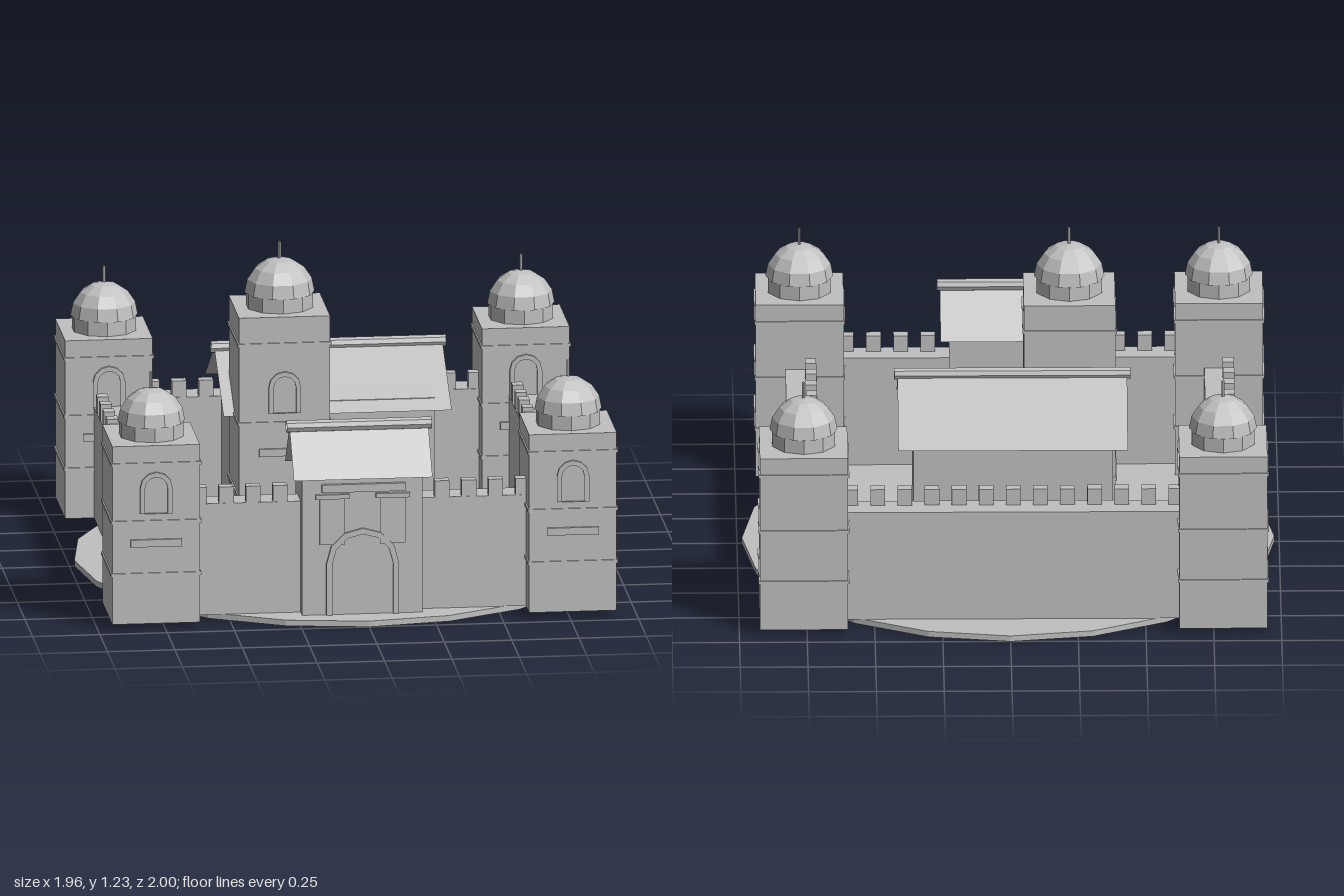
import * as THREE from 'three';

const stone = new THREE.MeshStandardMaterial({ color: 0xc0c0c0, flatShading: true, side: THREE.DoubleSide });
stone.name = 'grey stone';

function add(parent, name, geometry, x = 0, y = 0, z = 0) {
  const mesh = new THREE.Mesh(geometry, stone);
  mesh.name = name;
  mesh.position.set(x, y, z);
  parent.add(mesh);
  return mesh;
}

// Box given by its limits on each axis
function block(parent, name, x0, x1, y0, y1, z0, z1) {
  return add(parent, name, new THREE.BoxGeometry(x1 - x0, y1 - y0, z1 - z0),
    (x0 + x1) / 2, (y0 + y1) / 2, (z0 + z1) / 2);
}

// Adds a round-headed outline to a shape or path
function archOutline(path, halfWidth, bottom, top) {
  path.moveTo(-halfWidth, bottom);
  path.lineTo(halfWidth, bottom);
  for (let i = 0; i <= 6; i++) {
    const a = i * Math.PI / 6;
    path.lineTo(Math.cos(a) * halfWidth, top - halfWidth + Math.sin(a) * halfWidth);
  }
  path.closePath();
  return path;
}

function archFrame(parent, name, x, y, z, width, height, rim, sill) {
  const shape = archOutline(new THREE.Shape(), width / 2, 0, height);
  shape.holes.push(archOutline(new THREE.Path(), width / 2 - rim, sill, height - rim));
  const geometry = new THREE.ExtrudeGeometry(shape, { depth: 0.014, bevelEnabled: false });
  return add(parent, name, geometry, x, y, z - 0.003);
}

// Square tower with string courses, dome, spike, window and slot
function tower(parent, name, x, z, width, height, radius, windowY, slotY, bands) {
  const group = new THREE.Group();
  group.name = name;
  group.position.set(x, 0, z);
  parent.add(group);
  const h = width / 2;
  block(group, 'towerBody', -h, h, 0.022, height, -h, h);
  for (const y of bands) block(group, 'stringCourse', -h - 0.005, h + 0.005, y - 0.006, y + 0.006, -h - 0.005, h + 0.005);
  const drum = 0.054;
  add(group, 'domeDrum', new THREE.CylinderGeometry(radius * 0.97, radius * 0.97, drum, 10), 0, height + drum / 2);
  add(group, 'dome', new THREE.SphereGeometry(radius, 10, 4, 0, Math.PI * 2, 0, Math.PI / 2), 0, height + drum);
  add(group, 'spike', new THREE.CylinderGeometry(0.006, 0.006, 0.08, 6), 0, height + drum + radius + 0.02);
  archFrame(group, 'towerWindow', 0, windowY, h, 0.12, 0.157, 0.018, 0);
  block(group, 'arrowSlot', -0.095, 0.095, slotY - 0.014, slotY + 0.014, h - 0.005, h + 0.01);
}

// Gabled house body
function gabledBody(parent, name, x0, x1, z0, z1, eaveY, ridgeY) {
  const shape = new THREE.Shape();
  const zm = (z0 + z1) / 2;
  [[-z0, 0.022], [-z0, eaveY], [-zm, ridgeY], [-z1, eaveY], [-z1, 0.022]]
    .forEach(([a, b], i) => (i ? shape.lineTo(a, b) : shape.moveTo(a, b)));
  const geometry = new THREE.ExtrudeGeometry(shape, { depth: x1 - x0, bevelEnabled: false });
  geometry.rotateY(Math.PI / 2);
  return add(parent, name, geometry, x0);
}

// Two thin roof sheets and an open ridge tube
function roof(parent, name, x0, x1, zc, halfDepth, eaveY, ridgeY, over) {
  const group = new THREE.Group();
  group.name = name;
  parent.add(group);
  const rise = ridgeY - eaveY;
  const slope = Math.hypot(halfDepth, rise);
  for (const side of [1, -1]) {
    const sheet = add(group, 'roofSlope', new THREE.PlaneGeometry(x1 - x0, slope),
      (x0 + x1) / 2, (ridgeY + eaveY) / 2, zc + side * halfDepth / 2);
    sheet.rotation.set(-Math.atan2(halfDepth, rise), 0, 0);
    if (side < 0) sheet.rotation.set(-Math.atan2(halfDepth, -rise), 0, 0);
  }
  const tube = new THREE.CylinderGeometry(0.023, 0.023, x1 - x0 + 2 * over, 8, 1, true);
  tube.rotateZ(Math.PI / 2);
  add(group, 'ridgeTube', tube, (x0 + x1) / 2, ridgeY, zc);
}

export function createModel() {
  const model = new THREE.Group();
  model.name = 'fortress';

  // Ground disc
  const disc = add(model, 'groundDisc', new THREE.CylinderGeometry(1, 1, 0.022, 20), 0, 0.011);
  disc.scale.x = 0.982;

  // Corner towers
  for (const x of [-0.785, 0.762]) {
    for (const z of [-0.768, 0.782]) {
      tower(model, 'cornerTower', x, z, 0.325, 0.70, 0.125, 0.443, 0.33, [0.21, 0.41, 0.63]);
    }
  }

  // Curtain walls
  block(model, 'frontWall', -0.64, 0.62, 0.022, 0.445, 0.732, 0.84);
  block(model, 'backWall', -0.64, 0.62, 0.022, 0.445, -0.827, -0.71);
  block(model, 'leftWall', 0.70, 0.815, 0.022, 0.445, -0.62, 0.64);
  block(model, 'rightWall', -0.84, -0.73, 0.022, 0.445, -0.62, 0.64);

  // Battlements
  for (let i = -6; i <= 6; i++) {
    const x = -0.012 + i * 0.1;
    block(model, 'merlon', x - 0.027, x + 0.027, 0.44, 0.507, -0.755, -0.712);
    if (Math.abs(i) > 2) block(model, 'merlon', x - 0.027, x + 0.027, 0.44, 0.507, 0.797, 0.839);
  }
  for (let i = -5; i <= 5; i++) {
    const z = 0.006 + i * 0.108;
    block(model, 'merlon', 0.702, 0.743, 0.44, 0.507, z - 0.025, z + 0.025);
    block(model, 'merlon', -0.839, -0.797, 0.44, 0.507, z - 0.025, z + 0.025);
  }

  // Gatehouse
  gabledBody(model, 'gatehouse', -0.237, 0.21, 0.675, 0.89, 0.575, 0.70);
  roof(model, 'gatehouseRoof', -0.272, 0.243, 0.782, 0.146, 0.545, 0.715, 0.012);
  archFrame(model, 'gateArch', -0.013, 0.022, 0.89, 0.27, 0.328, 0.022, 0);
  block(model, 'gateBeam', -0.165, 0.145, 0.49, 0.52, 0.885, 0.905);
  for (const side of [-1, 1]) {
    const x = -0.013 + side * 0.112;
    block(model, 'gatePost', x - 0.047, x + 0.047, 0.29, 0.465, 0.885, 0.897);
    block(model, 'gateCapital', x - 0.063, x + 0.063, 0.465, 0.482, 0.885, 0.905);
  }

  // Great hall
  gabledBody(model, 'hall', -0.383, 0.353, -0.475, 0.025, 0.61, 0.752);
  roof(model, 'hallRoof', -0.437, 0.41, -0.23, 0.31, 0.575, 0.76, 0.012);
  for (const x of [0.06, 0.25]) archFrame(model, 'hallWindow', x, 0.38, 0.025, 0.12, 0.157, 0.018, 0);

  // Keep
  tower(model, 'keep', -0.226, 0.048, 0.338, 0.984, 0.13, 0.62, 0.47, [0.3, 0.58, 0.88]);

  return model;
}
